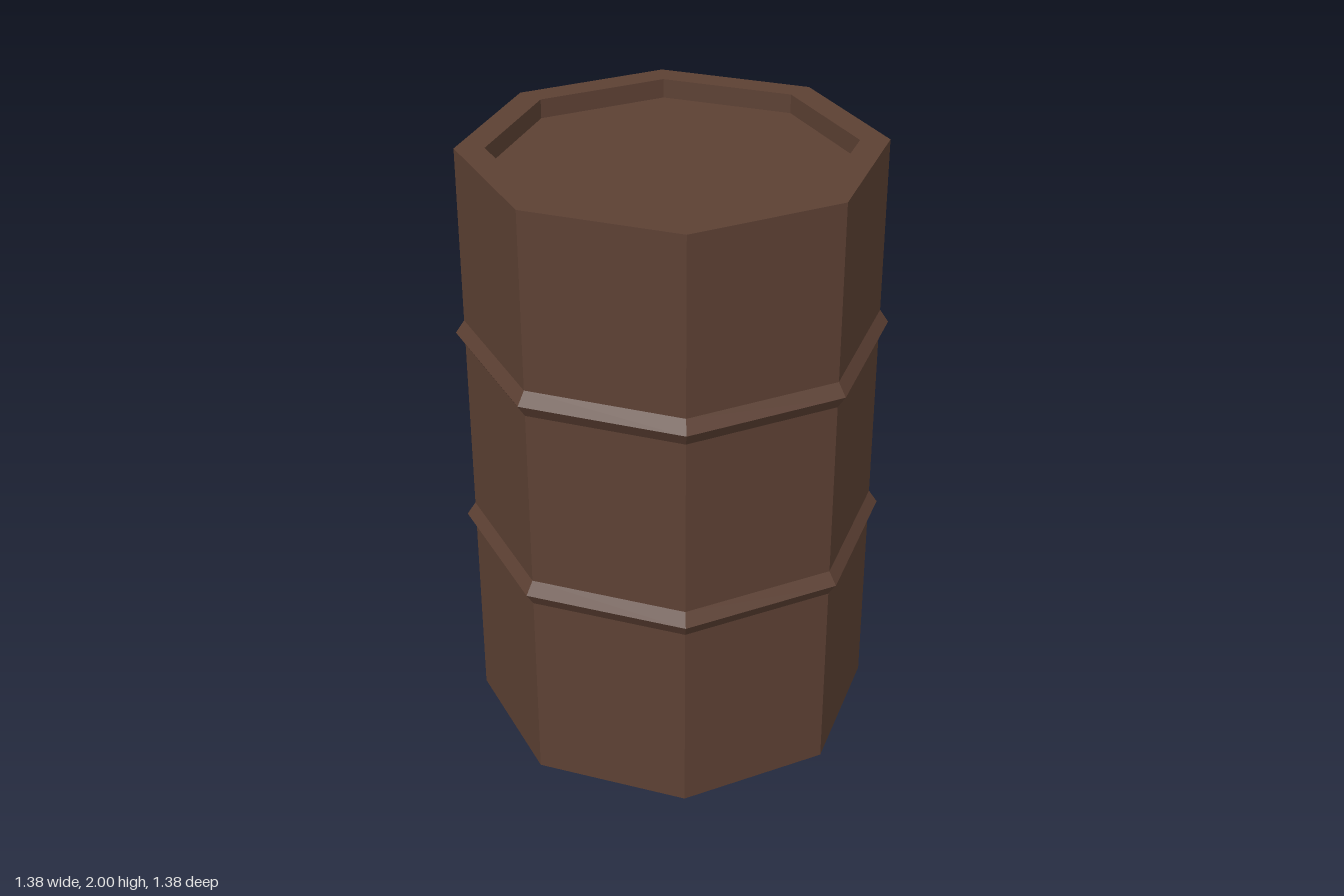
import * as THREE from 'three';

const SIDES = 8;
const HEIGHT = 2;
const RADIUS = 0.66;
const RIDGE_RADIUS = 0.688;
const RIDGE_HALF = 0.043;
const LID_RADIUS = 0.567;
const TOP_DEPTH = 0.063;
const BOTTOM_DEPTH = 0.05;

export function createModel() {
  const barrel = new THREE.Group();
  barrel.name = 'barrel';
  const material = new THREE.MeshStandardMaterial({ color: 0x5c4033, flatShading: true });

  // Eight-sided turned part from [radius, height] pairs
  const addTurned = (name, profile) => {
    const points = profile.map(([r, y]) => new THREE.Vector2(r, y));
    const mesh = new THREE.Mesh(new THREE.LatheGeometry(points, SIDES), material);
    mesh.name = name;
    barrel.add(mesh);
  };

  // Outer wall with two pointed hoops
  const wall = [[RADIUS, 0]];
  for (const y of [0.7, 1.38]) {
    wall.push([RADIUS, y - RIDGE_HALF], [RIDGE_RADIUS, y], [RADIUS, y + RIDGE_HALF]);
  }
  wall.push([RADIUS, HEIGHT]);
  addTurned('wall', wall);

  // Rims: flat ring plus the inner wall of each recess
  addTurned('topRim', [[RADIUS, HEIGHT], [LID_RADIUS, HEIGHT], [LID_RADIUS, HEIGHT - TOP_DEPTH]]);
  addTurned('bottomRim', [[LID_RADIUS, BOTTOM_DEPTH], [LID_RADIUS, 0], [RADIUS, 0]]);

  // Recessed lid and base
  const addDisc = (name, y, tilt) => {
    const mesh = new THREE.Mesh(new THREE.CircleGeometry(LID_RADIUS, SIDES), material);
    mesh.name = name;
    mesh.rotation.x = tilt;
    mesh.position.y = y;
    barrel.add(mesh);
  };
  addDisc('lid', HEIGHT - TOP_DEPTH, -Math.PI / 2);
  addDisc('base', BOTTOM_DEPTH, Math.PI / 2);

  return barrel;
}
